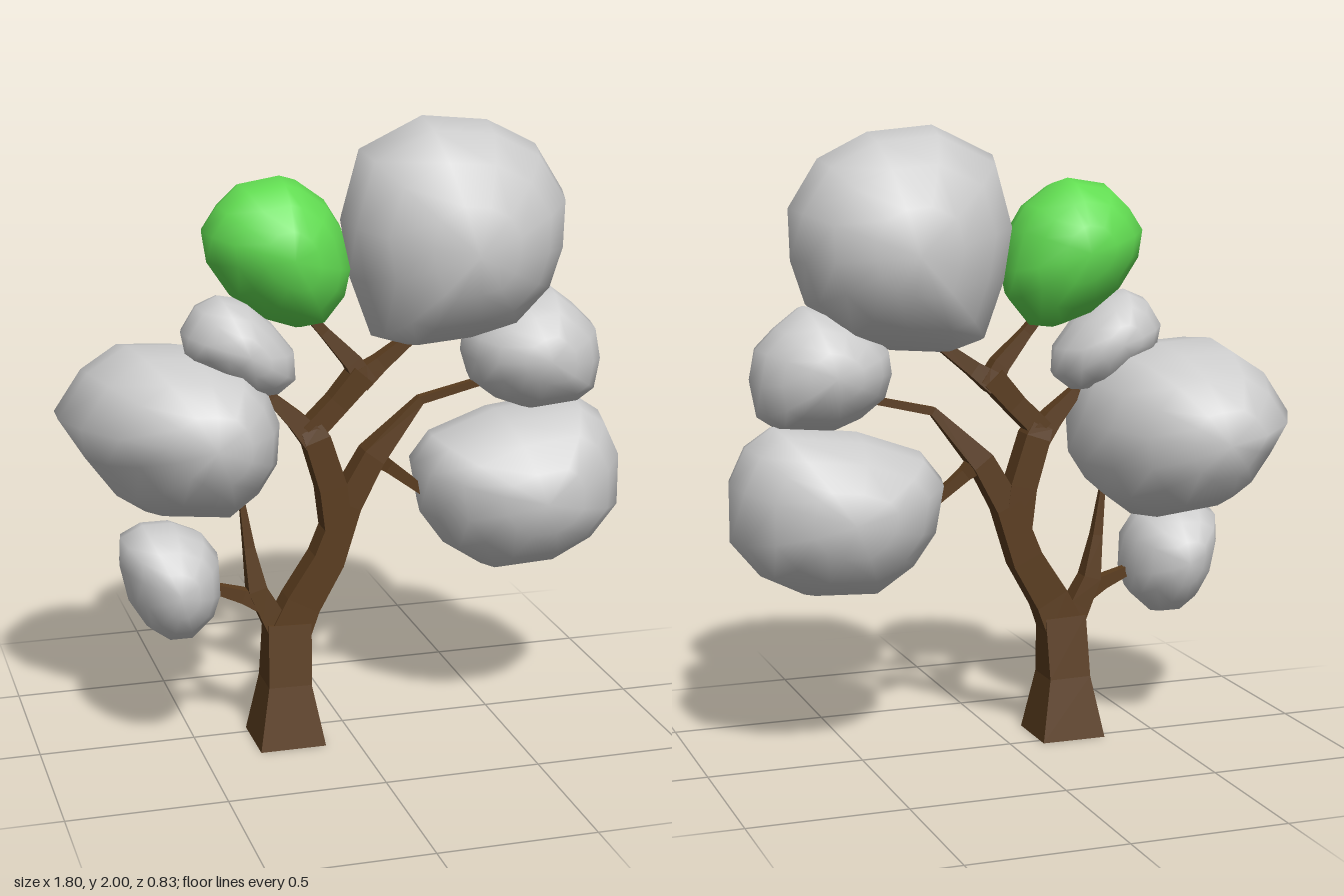
import * as THREE from 'three';
import { mergeVertices } from 'three/addons/utils/BufferGeometryUtils.js';

const leafMat = new THREE.MeshStandardMaterial({ color: 0xcccccc });
const greenMat = new THREE.MeshStandardMaterial({ color: 0x62dd52 });
const barkMat = new THREE.MeshStandardMaterial({ color: 0x5a3c1e, flatShading: true });
const Z = 0.073; // plane the branches lie in

// Leaf clump: a sphere with its poles on z, its equator following an outline (counter-clockwise)
function clump(name, outline, zBack, zFront, mat = leafMat, lean = [0, 0]) {
  const n = outline.length, rows = 8;
  const cx = outline.reduce((s, p) => s + p[0], 0) / n;
  const cy = outline.reduce((s, p) => s + p[1], 0) / n;
  let g = new THREE.SphereGeometry(1, n, rows);
  const pos = g.attributes.position;
  for (let k = 0; k < pos.count; k++) {
    const row = Math.floor(k / (n + 1)), [ox, oy] = outline[(k % (n + 1)) % n];
    const a = (row / rows) * Math.PI, s = Math.sin(a), c = Math.cos(a);
    pos.setXYZ(k, cx + (ox - cx) * s + lean[0] * c, cy + (oy - cy) * s + lean[1] * c,
      (zBack + zFront) / 2 + c * (zFront - zBack) / 2);
  }
  g.deleteAttribute('normal');
  g.deleteAttribute('uv');
  g = mergeVertices(g, 1e-4);
  g.computeVertexNormals();
  const m = new THREE.Mesh(g, mat);
  m.name = name;
  return m;
}

// Four-sided limb along points [x, y, half width, half depth]
function limb(name, pts) {
  const n = pts.length - 1;
  const g = new THREE.BoxGeometry(1, 1, 1, 1, n, 1);
  const pos = g.attributes.position;
  for (let k = 0; k < pos.count; k++) {
    const i = Math.round((pos.getY(k) + 0.5) * n);
    const [x, y, w, d = Math.min(w, 0.042)] = pts[i];
    const a = pts[Math.max(i - 1, 0)], b = pts[Math.min(i + 1, n)];
    const len = Math.hypot(b[0] - a[0], b[1] - a[1]);
    const side = Math.sign(pos.getX(k)) * w;
    pos.setXYZ(k, x + side * (b[1] - a[1]) / len, y - side * (b[0] - a[0]) / len,
      Z + Math.sign(pos.getZ(k)) * d);
  }
  g.computeVertexNormals();
  const m = new THREE.Mesh(g, barkMat);
  m.name = name;
  return m;
}

export function createModel() {
  const tree = new THREE.Group();
  tree.name = 'tree';

  // Trunk and branches
  const wood = new THREE.Group();
  wood.name = 'wood';
  wood.add(
    limb('trunk', [[-0.212, 0, 0.107, 0.107], [-0.212, 0.2, 0.07, 0.07], [-0.205, 0.4, 0.07, 0.046]]),
    limb('rightBough', [[-0.205, 0.36, 0.066, 0.046], [-0.16, 0.46, 0.058], [-0.075, 0.6, 0.052], [-0.01, 0.78, 0.043],
      [0.075, 0.93, 0.038], [0.235, 1.1, 0.014], [0.45, 1.15, 0.012]]),
    limb('lowerRightTwig', [[0.08, 0.93, 0.03], [0.13, 0.89, 0.02], [0.27, 0.78, 0.014]]),
    limb('leftBough', [[-0.04, 0.68, 0.045], [-0.06, 0.84, 0.045], [-0.11, 1.0, 0.042], [-0.13, 1.04, 0.034]]),
    limb('upperLeftTwig', [[-0.11, 0.99, 0.04], [-0.17, 1.06, 0.03], [-0.25, 1.14, 0.018], [-0.31, 1.21, 0.012]]),
    limb('topBough', [[-0.13, 1.02, 0.035], [-0.04, 1.11, 0.034], [0.04, 1.2, 0.038]]),
    limb('topLeftTwig', [[0.05, 1.17, 0.034], [0.01, 1.24, 0.028], [-0.08, 1.34, 0.017], [-0.15, 1.42, 0.014]]),
    limb('topRightTwig', [[0.03, 1.18, 0.036], [0.1, 1.23, 0.025], [0.22, 1.32, 0.016]]),
    limb('lowLeftBranch', [[-0.21, 0.36, 0.055], [-0.26, 0.43, 0.036], [-0.305, 0.52, 0.03], [-0.328, 0.66, 0.017], [-0.352, 0.84, 0.007]]),
    limb('lowLeftTwig', [[-0.285, 0.47, 0.03], [-0.35, 0.5, 0.022], [-0.46, 0.54, 0.014]]),
  );

  // Leaf clumps
  const leaves = new THREE.Group();
  leaves.name = 'leaves';
  leaves.add(
    clump('topClump', [[-0.03, 1.69], [0, 1.51], [0.07, 1.32], [0.18, 1.285], [0.37, 1.3], [0.53, 1.34], [0.645, 1.455],
      [0.69, 1.59], [0.695, 1.75], [0.6, 1.9], [0.44, 1.98], [0.23, 2], [0.03, 1.905]], -0.25, 0.41, leafMat, [-0.03, 0]),
    clump('greenClump', [[-0.46, 1.67], [-0.445, 1.575], [-0.375, 1.47], [-0.27, 1.39], [-0.165, 1.355], [-0.085, 1.365],
      [-0.015, 1.45], [0.005, 1.54], [-0.025, 1.67], [-0.075, 1.75], [-0.165, 1.815], [-0.215, 1.83], [-0.34, 1.81],
      [-0.41, 1.745]], -0.15, 0.26, greenMat),
    clump('upperLeftClump', [[-0.53, 1.36], [-0.515, 1.285], [-0.425, 1.215], [-0.305, 1.145], [-0.23, 1.15], [-0.17, 1.195],
      [-0.175, 1.285], [-0.245, 1.375], [-0.33, 1.455], [-0.41, 1.47], [-0.48, 1.44]], -0.11, 0.22),
    clump('leftClump', [[-0.9, 1.09], [-0.82, 0.96], [-0.725, 0.83], [-0.635, 0.77], [-0.405, 0.745], [-0.305, 0.82],
      [-0.24, 0.92], [-0.23, 1.06], [-0.275, 1.18], [-0.36, 1.275], [-0.5, 1.3], [-0.68, 1.31], [-0.805, 1.23]],
      -0.42, 0.35, leafMat, [0.05, 0.02]),
    clump('lowLeftClump', [[-0.74, 0.635], [-0.715, 0.52], [-0.66, 0.43], [-0.6, 0.387], [-0.525, 0.387], [-0.45, 0.455],
      [-0.425, 0.53], [-0.43, 0.65], [-0.48, 0.72], [-0.57, 0.76], [-0.665, 0.76], [-0.735, 0.725]], -0.12, 0.265),
    clump('rightClump', [[0.375, 1.235], [0.4, 1.155], [0.485, 1.09], [0.575, 1.055], [0.745, 1.07], [0.805, 1.11],
      [0.825, 1.215], [0.805, 1.32], [0.74, 1.385], [0.655, 1.45], [0.54, 1.43], [0.445, 1.375], [0.385, 1.31]], -0.135, 0.29),
    clump('lowRightClump', [[0.21, 0.885], [0.24, 0.725], [0.32, 0.615], [0.45, 0.53], [0.665, 0.54], [0.805, 0.61],
      [0.9, 0.725], [0.9, 0.905], [0.845, 1.02], [0.755, 1.08], [0.49, 1.05], [0.28, 0.975]], -0.225, 0.355),
  );

  tree.add(wood, leaves);
  return tree;
}
